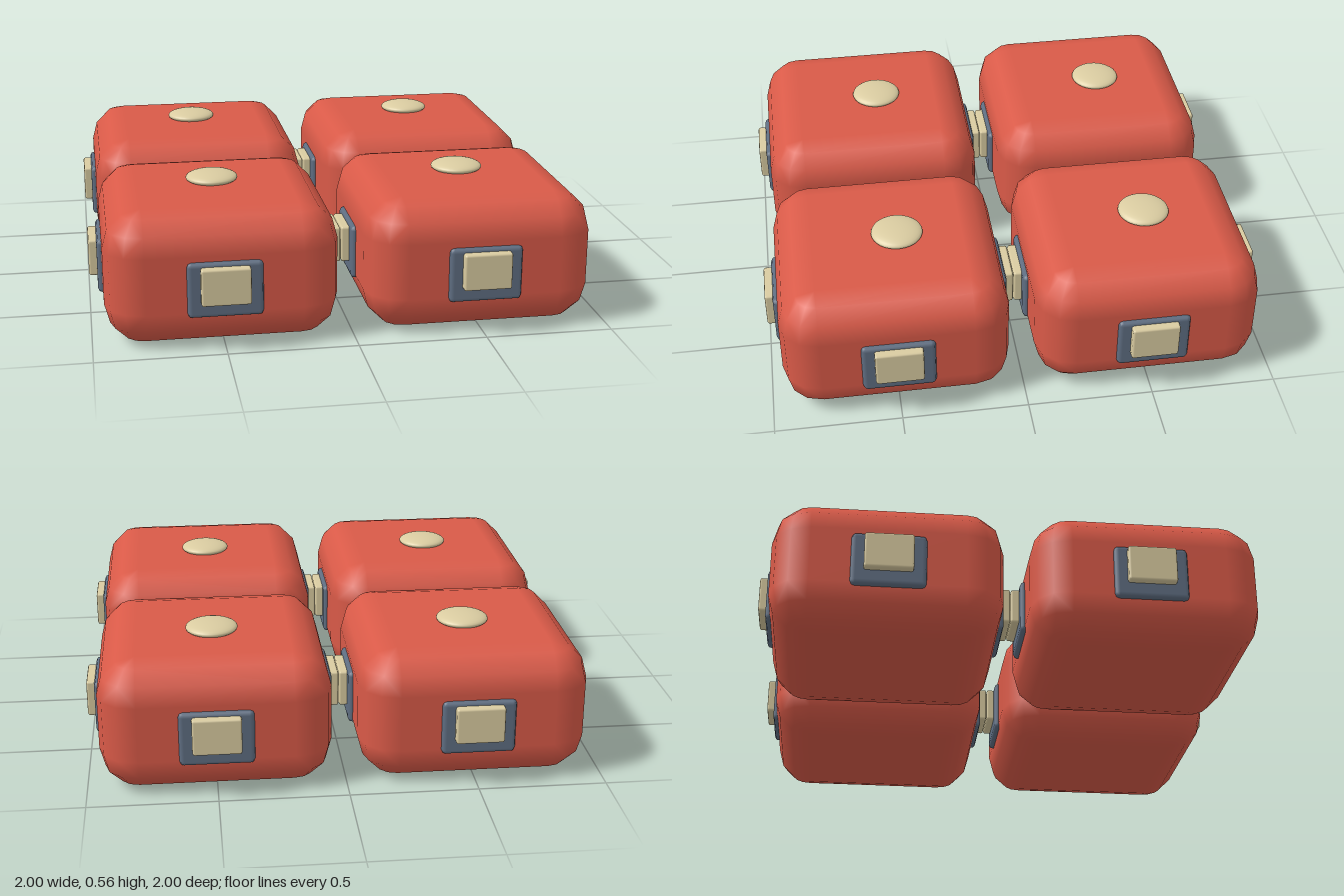
import * as THREE from 'three';
import { ConvexGeometry } from 'three/addons/geometries/ConvexGeometry.js';

const red = new THREE.MeshStandardMaterial({ name: 'warm red', color: 0xd95a48 });
const slate = new THREE.MeshStandardMaterial({ name: 'slate blue', color: 0x5f6e82 });
const cream = new THREE.MeshStandardMaterial({ name: 'cream', color: 0xdacca1 });

// Box with rounded edges: hull of eight sphere octants, smooth normals
function roundedBox(w, h, d, r, steps) {
  const inner = new THREE.Vector3(w / 2 - r, h / 2 - r, d / 2 - r);
  const points = [];
  for (const sx of [-1, 1]) for (const sy of [-1, 1]) for (const sz of [-1, 1]) {
    for (let i = 0; i <= steps; i++) {
      const lat = (i / steps) * Math.PI / 2;
      const ring = i === steps ? 0 : steps;
      for (let j = 0; j <= ring; j++) {
        const lon = (j / steps) * Math.PI / 2;
        points.push(new THREE.Vector3(
          sx * (inner.x + r * Math.cos(lat) * Math.cos(lon)),
          sy * (inner.y + r * Math.sin(lat)),
          sz * (inner.z + r * Math.cos(lat) * Math.sin(lon))));
      }
    }
  }
  const geometry = new ConvexGeometry(points);
  const position = geometry.attributes.position;
  const normal = geometry.attributes.normal;
  const low = inner.clone().negate();
  const p = new THREE.Vector3();
  for (let i = 0; i < position.count; i++) {
    p.fromBufferAttribute(position, i);
    const n = p.clone().sub(p.clone().clamp(low, inner)).normalize();
    normal.setXYZ(i, n.x, n.y, n.z);
  }
  return geometry;
}

function addPart(parent, name, geometry, material, x, y, z) {
  const mesh = new THREE.Mesh(geometry, material);
  mesh.name = name;
  mesh.position.set(x, y, z);
  parent.add(mesh);
  return mesh;
}

export function createModel() {
  const model = new THREE.Group();
  model.name = 'fourBlocks';

  const bodyGeometry = roundedBox(0.898, 0.523, 0.898, 0.15, 3);
  const plateGeometry = roundedBox(0.287, 0.218, 0.05, 0.018, 2);
  const buttonGeometry = roundedBox(0.188, 0.145, 0.07, 0.009, 2);
  const domeGeometry = new THREE.SphereGeometry(0.103, 32, 16);

  for (const x of [-0.5, 0.5]) for (const z of [-0.5, 0.5]) {
    const block = new THREE.Group();
    block.name = 'block';
    block.position.set(x, 0, z);
    model.add(block);

    addPart(block, 'body', bodyGeometry, red, 0, 0.2615, 0);

    // Flattened cap, set slightly towards the back
    const cap = addPart(block, 'topCap', domeGeometry, cream, 0, 0.533, -0.043);
    cap.scale.y = 0.026 / 0.103;

    // A framed button on each of the four sides
    ['front', 'left', 'back', 'right'].forEach((side, i) => {
      const connector = new THREE.Group();
      connector.name = side + 'Connector';
      connector.rotation.y = i * Math.PI / 2;
      addPart(connector, 'plate', plateGeometry, slate, 0, 0.243, 0.442);
      addPart(connector, 'button', buttonGeometry, cream, 0, 0.264, 0.464);
      block.add(connector);
    });
  }
  return model;
}
